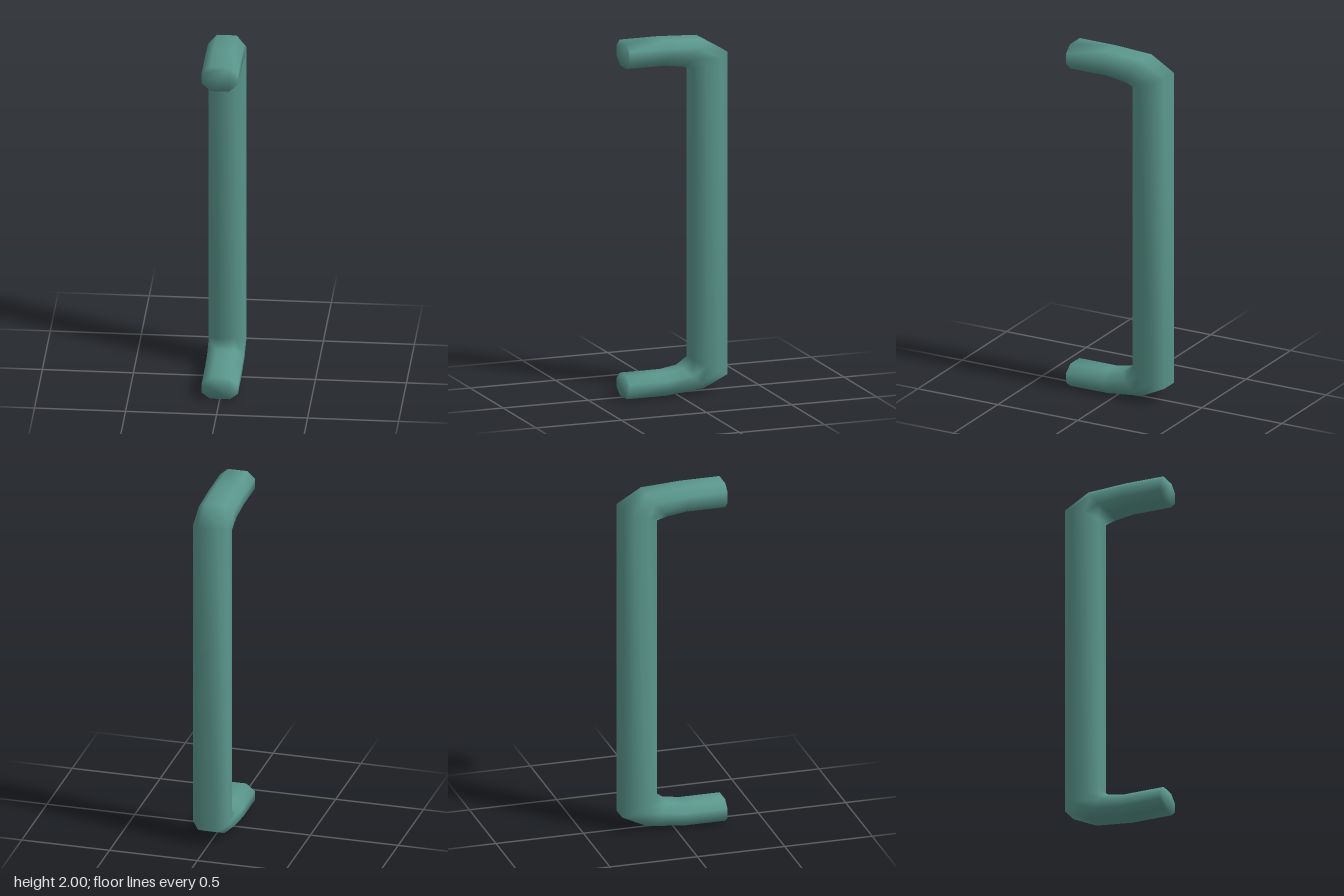
import * as THREE from 'three';

// Octagon section: x, and fraction from the outer to the inner edge of the bar
const SECTION = [
  [0.055, 0], [0.1, 0.275], [0.1, 0.69], [0.05, 1],
  [-0.05, 1], [-0.1, 0.69], [-0.1, 0.275], [-0.055, 0],
];

// Stations along the bar: outer z, outer y, inner z, inner y
const STATIONS = [
  [0.295, 2, 0.295, 1.857],
  [0.07, 2, 0.07, 1.857],
  [-0.155, 1.988, -0.035, 1.842],
  [-0.295, 1.905, -0.095, 1.825],
  [-0.295, 0.09, -0.095, 0.185],
  [-0.155, 0.023, -0.035, 0.143],
  [0.06, 0, 0.06, 0.127],
  [0.295, 0, 0.295, 0.127],
];

function sweptBar() {
  const n = SECTION.length;
  const positions = [];
  const index = [];
  for (const [oz, oy, iz, iy] of STATIONS) {
    for (const [x, t] of SECTION) {
      positions.push(x, oy + (iy - oy) * t, oz + (iz - oz) * t);
    }
  }
  // Sides
  for (let s = 0; s < STATIONS.length - 1; s++) {
    for (let i = 0; i < n; i++) {
      const a = s * n + i;
      const b = s * n + (i + 1) % n;
      index.push(a, b, a + n, b, b + n, a + n);
    }
  }
  // End caps, sharing the side vertices so the shading stays soft
  const last = (STATIONS.length - 1) * n;
  for (let i = 1; i < n - 1; i++) {
    index.push(0, i + 1, i, last, last + i, last + i + 1);
  }
  const geometry = new THREE.BufferGeometry();
  geometry.setAttribute('position', new THREE.Float32BufferAttribute(positions, 3));
  geometry.setIndex(index);
  geometry.computeVertexNormals();
  return geometry;
}

export function createModel() {
  const group = new THREE.Group();
  group.name = 'pullHandle';
  const bar = new THREE.Mesh(sweptBar(), new THREE.MeshStandardMaterial({ color: 0x5a968c }));
  bar.name = 'handleBar';
  group.add(bar);
  return group;
}
